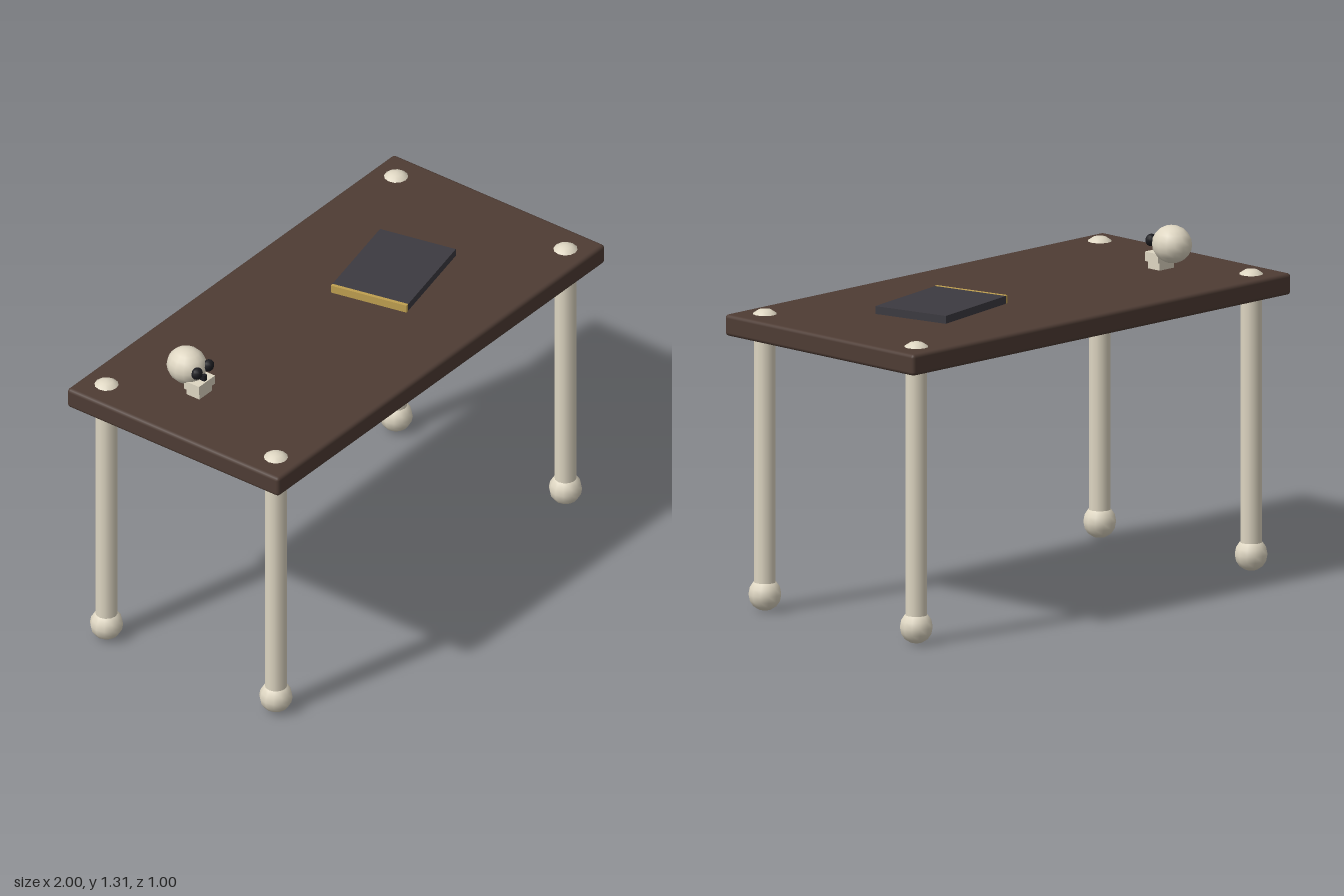
import * as THREE from 'three';
import { RoundedBoxGeometry } from 'three/addons/geometries/RoundedBoxGeometry.js';

export function createModel() {
  const model = new THREE.Group();
  model.name = 'boneTable';

  const paint = (color) => new THREE.MeshStandardMaterial({ color });
  const wood = paint(0x4e3c34);
  const bone = paint(0xded6c2);
  const dark = paint(0x1c1c20);
  const cover = paint(0x3c3a40);
  const gold = paint(0xbf9f50);

  const add = (parent, name, geometry, material, x, y, z) => {
    const mesh = new THREE.Mesh(geometry, material);
    mesh.name = name;
    mesh.position.set(x, y, z);
    parent.add(mesh);
    return mesh;
  };
  const box = (w, h, d) => new THREE.BoxGeometry(w, h, d);

  // Table top with softened edges
  add(model, 'tableTop', new RoundedBoxGeometry(2, 0.082, 1, 2, 0.014), wood, 0, 1.098, 0);

  // Four bone legs, each with a ball foot and a knob poking through the top
  const shaft = new THREE.CylinderGeometry(0.042, 0.042, 1.03, 12);
  const ball = new THREE.SphereGeometry(0.063, 12, 8);
  for (const x of [-0.885, 0.885]) {
    for (const z of [-0.4, 0.4]) {
      const leg = new THREE.Group();
      leg.name = 'leg';
      leg.position.set(x, 0, z);
      add(leg, 'legShaft', shaft, bone, 0, 0.58, 0);
      add(leg, 'footBall', ball, bone, 0, 0.066, 0);
      add(leg, 'topKnob', ball, bone, 0, 1.096, 0);
      model.add(leg);
    }
  }

  // Skull, resting on the table top
  const skull = new THREE.Group();
  skull.name = 'skull';
  skull.position.set(-0.717, 1.139, -0.15);
  add(skull, 'cranium', new THREE.SphereGeometry(0.072, 14, 10), bone, 0, 0.101, 0)
    .scale.set(1, 1, 1.1);
  add(skull, 'upperJaw', box(0.098, 0.036, 0.07), bone, 0, 0.047, 0.06);
  add(skull, 'lowerJaw', box(0.076, 0.03, 0.06), bone, 0, 0.015, 0.058);
  const socket = new THREE.SphereGeometry(0.024, 10, 8);
  for (const side of [-1, 1]) {
    add(skull, 'eyeSocket', socket, dark, side * 0.035, 0.11, 0.075).scale.z = 0.85;
  }
  add(skull, 'nose', box(0.016, 0.026, 0.024), dark, 0, 0.076, 0.077);
  model.add(skull);

  // Book turned slightly on the table, with a gold spine
  const book = new THREE.Group();
  book.name = 'book';
  book.position.set(0.357, 1.154, -0.005);
  book.rotation.y = 0.21;
  add(book, 'bookBody', box(0.412, 0.03, 0.314), cover, 0.006, 0, 0);
  add(book, 'bookSpine', box(0.014, 0.032, 0.314), gold, -0.206, 0, 0);
  model.add(book);

  return model;
}
